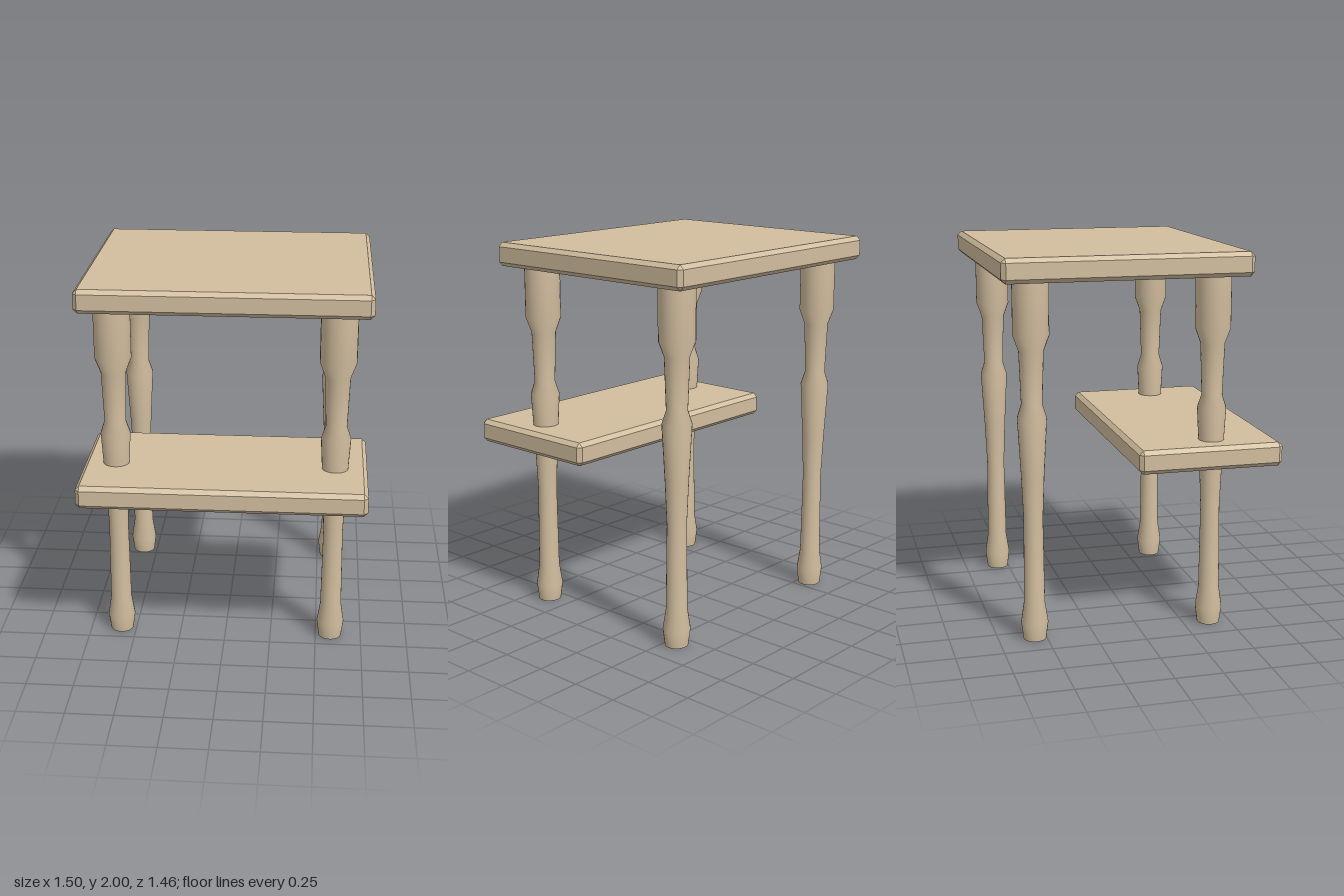
import * as THREE from 'three';
import { ConvexGeometry } from 'three/addons/geometries/ConvexGeometry.js';

// Box with every edge cut at 45 degrees
function chamferedBox(w, h, d, c) {
  const points = [];
  for (const x of [-w / 2, w / 2])
    for (const y of [-h / 2, h / 2])
      for (const z of [-d / 2, d / 2]) {
        const ix = x - Math.sign(x) * c, iy = y - Math.sign(y) * c, iz = z - Math.sign(z) * c;
        points.push(
          new THREE.Vector3(x, iy, iz),
          new THREE.Vector3(ix, y, iz),
          new THREE.Vector3(ix, iy, z));
      }
  return new ConvexGeometry(points);
}

export function createModel() {
  const model = new THREE.Group();
  model.name = 'stepStool';
  const wood = new THREE.MeshStandardMaterial({ color: 0xd2be9f });
  wood.name = 'lightWood';

  // Boards: name, bottom y, back z, front z
  const boards = [
    ['topBoard', 1.875, -0.73, 0.555],
    ['stepBoard', 0.885, -0.04, 0.73],
  ];
  for (const [name, y, back, front] of boards) {
    const board = new THREE.Mesh(chamferedBox(1.5, 0.125, front - back, 0.022), wood);
    board.name = name;
    board.position.set(0, y + 0.0625, (back + front) / 2);
    model.add(board);
  }

  // Turned leg profile: radius, height
  const profile = [
    [0, 0], [0.062, 0], [0.062, 0], [0.074, 0.09], [0.057, 0.2], [0.052, 0.65],
    [0.062, 0.88], [0.079, 1.18], [0.056, 1.25], [0.066, 1.52], [0.096, 1.6], [0.096, 1.885],
  ].map(([r, y]) => new THREE.Vector2(r, y));
  const legGeometry = new THREE.LatheGeometry(profile, 24);
  for (const [row, z] of [['front', 0.39], ['back', -0.56]])
    for (const [side, x] of [['Left', 0.58], ['Right', -0.58]]) {
      const leg = new THREE.Mesh(legGeometry, wood);
      leg.name = `${row}${side}Leg`;
      leg.position.set(x, 0, z);
      leg.scale.z = 0.96;
      model.add(leg);
    }
  return model;
}
